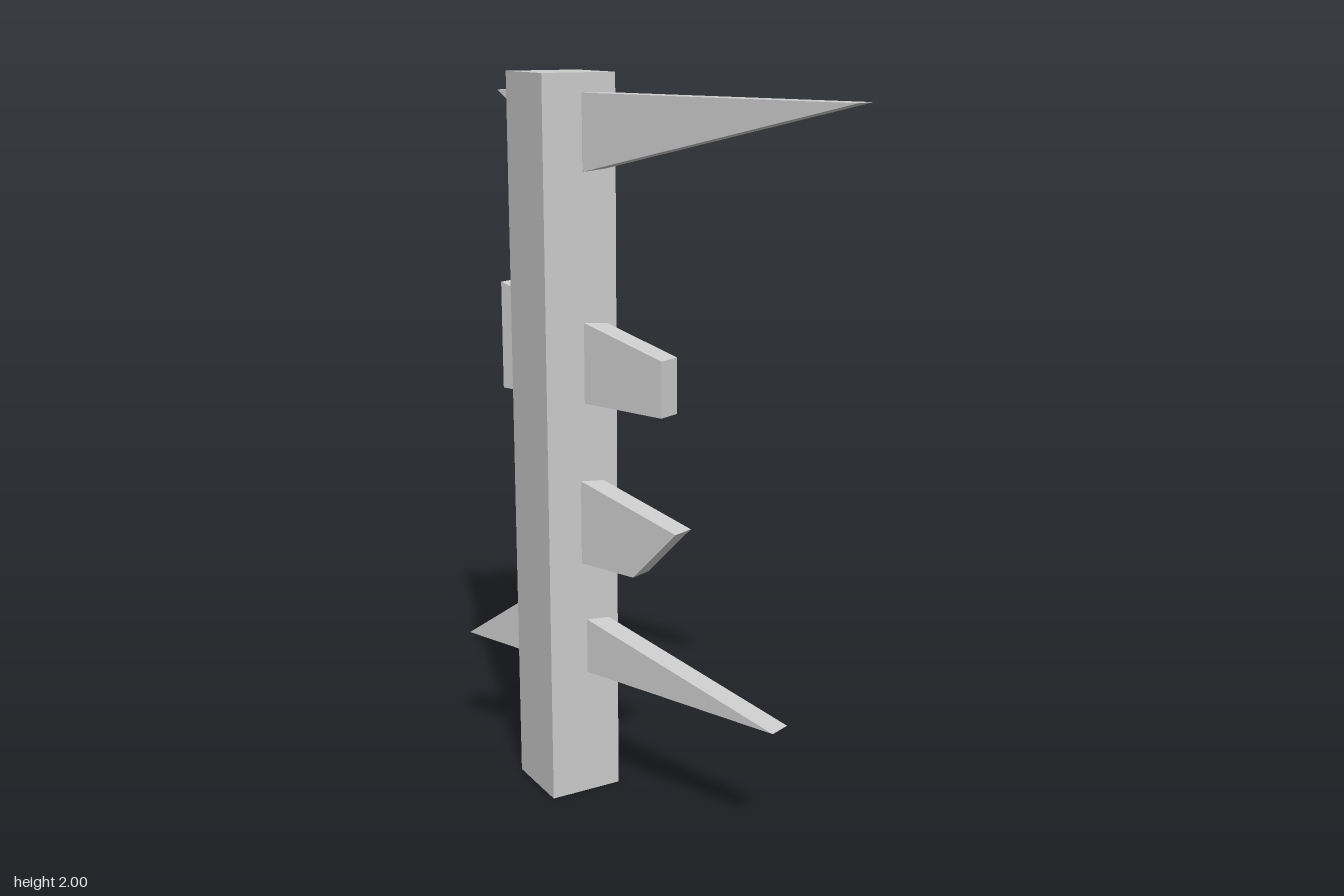
import * as THREE from 'three';

export function createModel() {
  const group = new THREE.Group();
  const material = new THREE.MeshStandardMaterial({
    color: 0xcccccc, flatShading: true, side: THREE.DoubleSide,
  });
  const px = -0.1, pz = -0.255, width = 0.21;

  // Square post, closed on top and open underneath
  const postGeometry = new THREE.BoxGeometry(width, 2, width);
  const index = Array.from(postGeometry.index.array);
  index.splice(18, 6); // drops the bottom face
  postGeometry.setIndex(index);
  postGeometry.clearGroups();
  const post = new THREE.Mesh(postGeometry, material);
  post.name = 'post';
  post.position.set(px, 1, pz);
  group.add(post);

  // Slabs running through the post; outline is [distance along slab, height]
  const thickness = 0.065;
  function addSlab(name, outline, shift = 0) {
    const shape = new THREE.Shape(outline.map(([s, y]) => new THREE.Vector2(s, y)));
    const geometry = new THREE.ExtrudeGeometry(shape, { depth: thickness, bevelEnabled: false });
    geometry.translate(0, 0, -thickness / 2);
    const mesh = new THREE.Mesh(geometry, material);
    mesh.name = name;
    mesh.rotation.y = THREE.MathUtils.degToRad(-69);
    mesh.position.set(px + 0.002 + shift, 0, pz);
    group.add(mesh);
  }

  addSlab('topSpike', [[-0.198, 1.95], [0.09, 1.749], [0.918, 1.95]]);
  addSlab('upperPeg', [[-0.201, 1.14], [0.362, 1.14], [0.362, 1.29], [-0.201, 1.437]]);
  addSlab('lowerPeg', [[-0.137, 0.69], [0.282, 0.69], [0.426, 0.84], [-0.137, 0.987]], -0.014);
  addSlab('bottomSpike', [[-0.367, 0.365], [0.731, 0.365], [-0.079, 0.567]]);

  return group;
}
